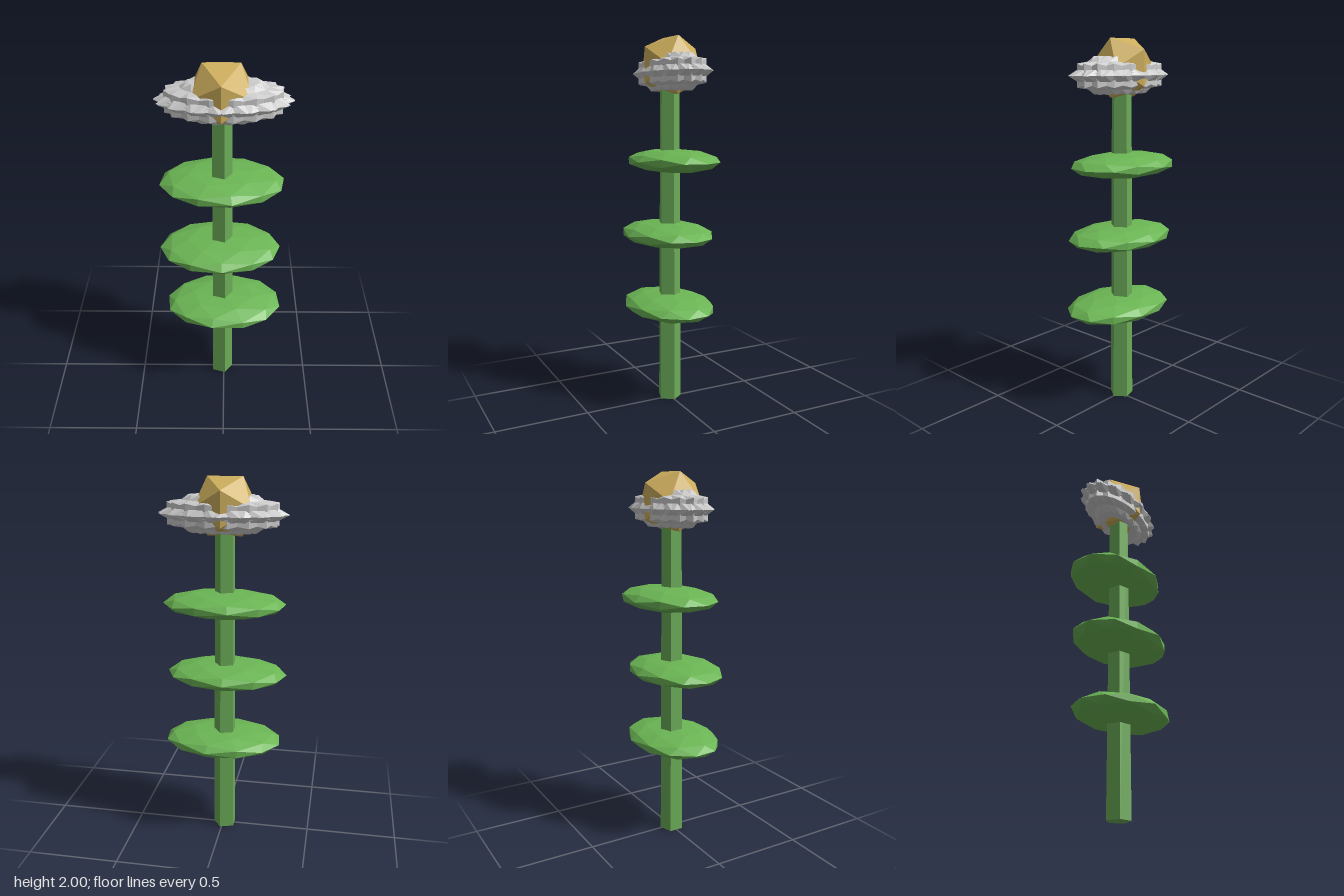
import * as THREE from 'three';

const flat = (color) => new THREE.MeshStandardMaterial({ color, flatShading: true });

export function createModel() {
  const group = new THREE.Group();
  const add = (name, geometry, material) => {
    const mesh = new THREE.Mesh(geometry, material);
    mesh.name = name;
    group.add(mesh);
    return mesh;
  };
  const stemGreen = flat(0x6bab58);
  const leafGreen = flat(0x6bb554);
  const petalGrey = flat(0xcccccc);
  const gold = flat(0xcdae5c);

  // Five-sided tapering stem, one ridge towards +x
  const stem = new THREE.CylinderGeometry(0.055, 0.066, 1.78, 5);
  stem.rotateY(Math.PI / 2);
  add('stem', stem, stemGreen).position.set(-0.013, 0.89, 0);

  // Three flattened faceted leaf discs: centre x, y, z and turn
  const leaves = [
    [0.0, 0.547, 0.012, -0.2],
    [-0.02, 0.945, 0.012, 0.03],
    [-0.01, 1.345, -0.02, 0.16],
  ];
  for (const [x, y, z, turn] of leaves) {
    const disc = new THREE.IcosahedronGeometry(1, 1);
    disc.rotateY(turn);
    disc.scale(0.33, 0.065, 0.235);
    add('leafDisc', disc, leafGreen).position.set(x, y, z);
  }

  // Spiky petal head: icosahedra turned about y, then squashed together
  const petals = 8;
  for (let i = 0; i < petals; i++) {
    const petal = new THREE.IcosahedronGeometry(1, 0);
    petal.rotateY((i * Math.PI) / petals + 0.55);
    petal.scale(0.344, 0.112, 0.165);
    add('petal', petal, petalGrey).position.set(0, 1.813, -0.006);
  }

  // Golden heart of the flower
  const heart = new THREE.IcosahedronGeometry(0.176, 0);
  add('flowerHeart', heart, gold).position.set(-0.012, 1.85, -0.007);

  return group;
}
